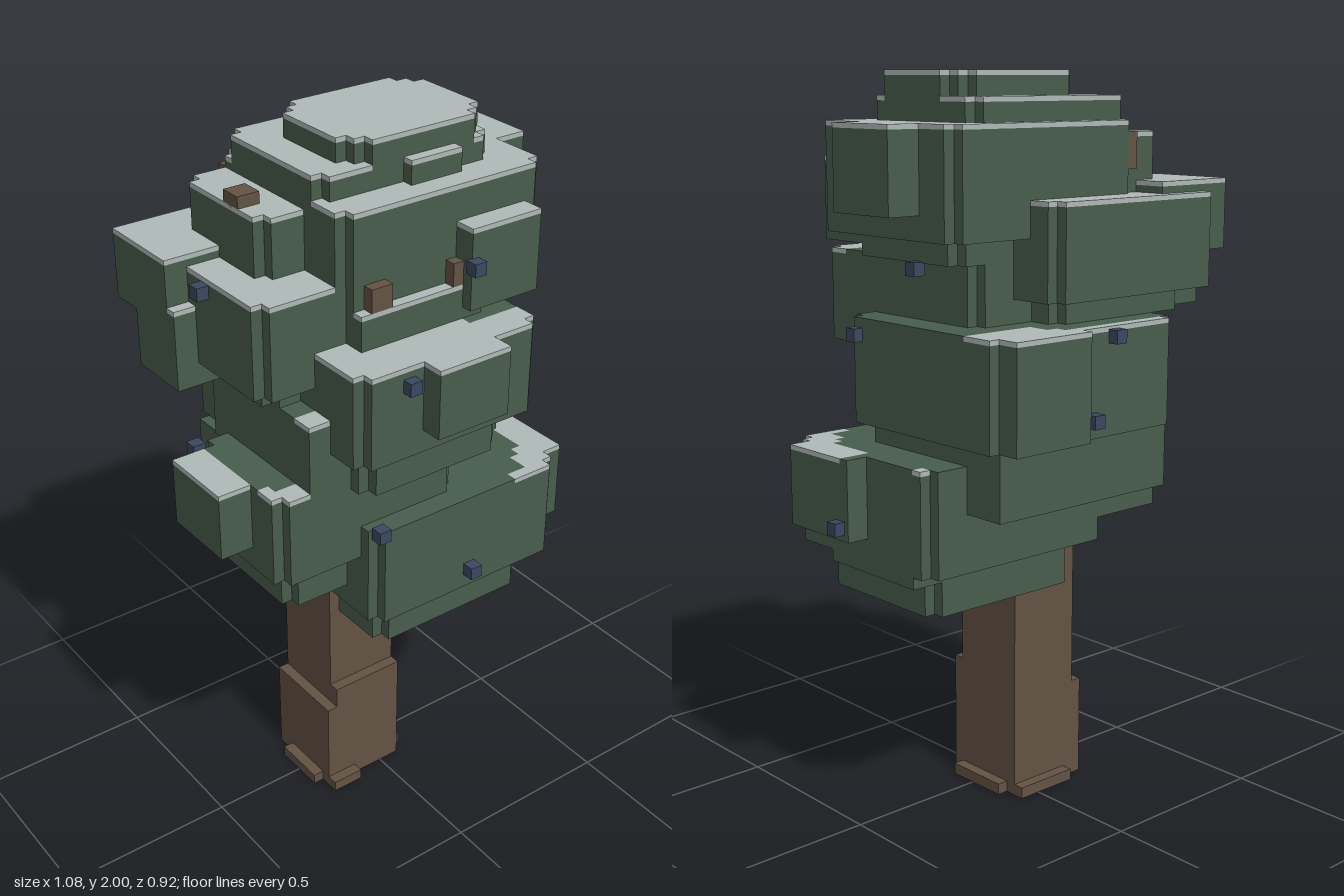
import * as THREE from 'three';
import { mergeGeometries } from 'three/addons/utils/BufferGeometryUtils.js';

const U = 2 / 63;      // edge of one block
const CAP = 0.013;     // thickness of the frost layer

const mat = (name, color) => {
  const m = new THREE.MeshStandardMaterial({ color });
  m.name = name;
  return m;
};

// Main foliage tiers in blocks: x0, x1, y0, y1, z0, z1, drop of the inset underside
const TIERS = {
  lowestTier: [-6, 14, 23, 32, -7.5, 10.5, 4],
  leftTier: [-14, 4, 29, 37, -3.5, 8.5, 4],
  backTier: [-8, 12, 34, 43, -13.5, 5.5, 2],
  frontTier: [-9, 9, 40, 48, -7.5, 12.5, 4],
  upperLeftTier: [-14, 5, 45, 53, -12.5, 6.5, 2],
  upperTier: [-7, 13, 50, 59, -9.5, 7.5, 2],
  crownLeftTier: [-11, 4, 53, 58, -8.5, 2.5, 1],
  crownTier: [-7, 10, 58, 61, -8.5, 4.5, 2],
  crownTop: [-4, 10, 60, 63, -6.5, 4.5, 1],
};

// Square tufts that stick out of the tiers: x0, x1, y0, y1, z0, z1
const TUFTS = {
  lowestTuft: [7, 16, 25, 32, 0.5, 8.5],
  lowestSkirt: [7, 14, 22, 24, -5.5, 5.5],
  leftTuft: [-17, -9, 31, 37, -2.5, 4.5],
  leftSkirt: [-12, 2, 25, 32, -7.5, 4.5],
  backTuft: [3, 11, 34, 43, -14.5, -8.5],
  backSkirt: [-9, 10, 28, 34, -11.5, 4.5],
  frontLedge: [-11, 7, 36, 43, -5.5, 8.5],
  frontTuft: [-3, 4, 42, 48, 7.5, 14.5],
  upperLeftLowTuft: [-16, -9, 43, 50, -8.5, -2.5],
  upperLeftBackTuft: [-16, -8, 48, 54, -11.5, -3.5],
  upperLedge: [-6, 6, 48, 51, 3.5, 8.5],
  upperRightTuft: [8, 16, 52, 59, -5.5, 1.5],
  upperFrontTuft: [4, 11, 49, 56, 3.5, 9.5],
  crownFrontTuft: [1, 6, 59, 61, 2.5, 5.5],
};

// Every tier gets stepped corners and an underside set in by two blocks
function makeSlabs() {
  const slab = (name, [x0, x1, y0, y1, z0, z1], c) => ({ name, x0, x1, y0, y1, z0, z1, c });
  const slabs = Object.entries(TUFTS).map(([name, b]) => slab(name, b, 0));
  for (const [name, b] of Object.entries(TIERS)) {
    const [x0, x1, y0, , z0, z1, drop] = b;
    slabs.push(slab(name, b, name === 'crownTop' ? 2 : 1));
    slabs.push(slab(name + 'Underside', [x0 + 2, x1 - 2, y0 - drop, y0 + 1, z0 + 2, z1 - 2], 1));
  }
  return slabs;
}

// True when the block column centred on (x, z) lies in a slab's stepped footprint
function inside(s, x, z) {
  const dx = Math.min(x - s.x0, s.x1 - x) - 0.5;
  const dz = Math.min(z - s.z0, s.z1 - z) - 0.5;
  return dx >= -0.01 && dz >= -0.01 && dx + dz > s.c - 0.5;
}

// Box geometry from block bounds
function block(x0, x1, y0, y1, z0, z1) {
  const g = new THREE.BoxGeometry((x1 - x0) * U, (y1 - y0) * U, (z1 - z0) * U);
  g.translate((x0 + x1) * U / 2, (y0 + y1) * U / 2, (z0 + z1) * U / 2);
  return g;
}

// Outline of a rectangle with staircase corners, extruded upward
function slabBody(s) {
  const pts = [];
  const cx = (s.x0 + s.x1) / 2, cz = (s.z0 + s.z1) / 2;
  const hx = (s.x1 - s.x0) / 2, hz = (s.z1 - s.z0) / 2;
  const quarter = [];
  for (let i = 0; i <= s.c; i++) {
    quarter.push([hx - i, hz - s.c + i]);
    if (i < s.c) quarter.push([hx - i - 1, hz - s.c + i]);
  }
  for (const [sx, sz] of [[1, 1], [-1, 1], [-1, -1], [1, -1]]) {
    const q = sx * sz > 0 ? quarter : [...quarter].reverse();
    for (const [a, b] of q) pts.push(new THREE.Vector2((cx + sx * a) * U, -(cz + sz * b) * U));
  }
  const depth = (s.y1 - s.y0) * U - CAP;
  const g = new THREE.ExtrudeGeometry(new THREE.Shape(pts), { depth, bevelEnabled: false });
  g.rotateX(-Math.PI / 2);
  g.translate(0, s.y0 * U, 0);
  return g;
}

// Top layer in row runs: frost where open to the sky, leaves where sheltered
function slabCap(s, slabs) {
  const runs = { frost: [], leaves: [] };
  const y0 = s.y1 - CAP / U;
  for (let z = s.z0 + 0.5; z < s.z1; z++) {
    let kind = null, start = 0;
    for (let x = s.x0 + 0.5; x < s.x1 + 1; x++) {
      let k = null;
      if (inside(s, x, z)) {
        k = slabs.some(o => o.y1 > s.y1 && inside(o, x, z)) ? 'leaves' : 'frost';
      }
      if (k !== kind) {
        if (kind) runs[kind].push(block(start, x - 0.5, y0, s.y1, z - 0.5, z + 0.5));
        kind = k;
        start = x - 0.5;
      }
    }
  }
  return runs;
}

export function createModel() {
  const group = new THREE.Group();
  group.name = 'frostyTree';
  const bark = mat('bark', 0x635243);
  const leaves = mat('leaves', 0x485d4d);
  const frost = mat('frost', 0xafb9b7);
  const berry = mat('berry', 0x3b4860);

  const add = (name, geometry, material) => {
    const m = new THREE.Mesh(geometry, material);
    m.name = name;
    group.add(m);
  };

  // Trunk, thicker foot and root flares
  add('trunk', block(-5, 2, 0, 30, -4.5, 2.5), bark);
  add('trunkFoot', block(-5, 2, 0, 11, -4.5, 3.5), bark);
  add('trunkSide', block(-6, 2, 0, 9, -4.5, 3.5), bark);
  add('rootLeft', block(0, 3, 0, 1, -3.5, 2.5), bark);
  add('rootRight', block(-7, -4, 0, 1, -2.5, 2.5), bark);
  add('rootFront', block(-6, -3, 0, 1, 0.5, 4.5), bark);
  add('rootBack', block(-4, 2, 0, 1, -5.5, -2.5), bark);

  // Foliage slabs with frosted tops
  const slabs = makeSlabs();
  for (const s of slabs) {
    add(s.name, slabBody(s), leaves);
    const cap = slabCap(s, slabs);
    if (cap.frost.length) add(s.name + 'Frost', mergeGeometries(cap.frost), frost);
    if (cap.leaves.length) add(s.name + 'Cover', mergeGeometries(cap.leaves), leaves);
  }

  // Branch stubs poking through the leaves
  add('branchRight', block(-11, -9, 57, 59, -2.5, -0.5), bark);
  add('branchBack', block(-7, -5, 55, 58.1, -9.5, -8.5), bark);
  add('branchBackSide', block(-7, -6, 55, 58.1, -8.5, -7.5), bark);
  add('branchFrontRight', block(-5, -3, 51, 53, 7.4, 8.5), bark);
  add('branchFrontLeft', block(3, 4, 51, 53, 7.4, 8.5), bark);

  // Berries
  const berries = [
    [0.13, 1.68, 0.315], [0.36, 1.51, -0.09], [0.39, 1.32, 0.125], [0.52, 0.83, 0.05],
    [0.13, 0.79, 0.35], [-0.165, 1.01, 0.325], [-0.14, 1.475, 0.408], [-0.46, 1.65, -0.03],
    [-0.455, 1.17, -0.1], [-0.455, 0.975, 0.03], [0.065, 1.13, -0.445], [-0.015, 1.34, -0.44],
  ];
  for (const [x, y, z] of berries) {
    const g = new THREE.BoxGeometry(0.036, 0.036, 0.036);
    g.translate(x, y, z);
    add('berry', g, berry);
  }
  return group;
}
